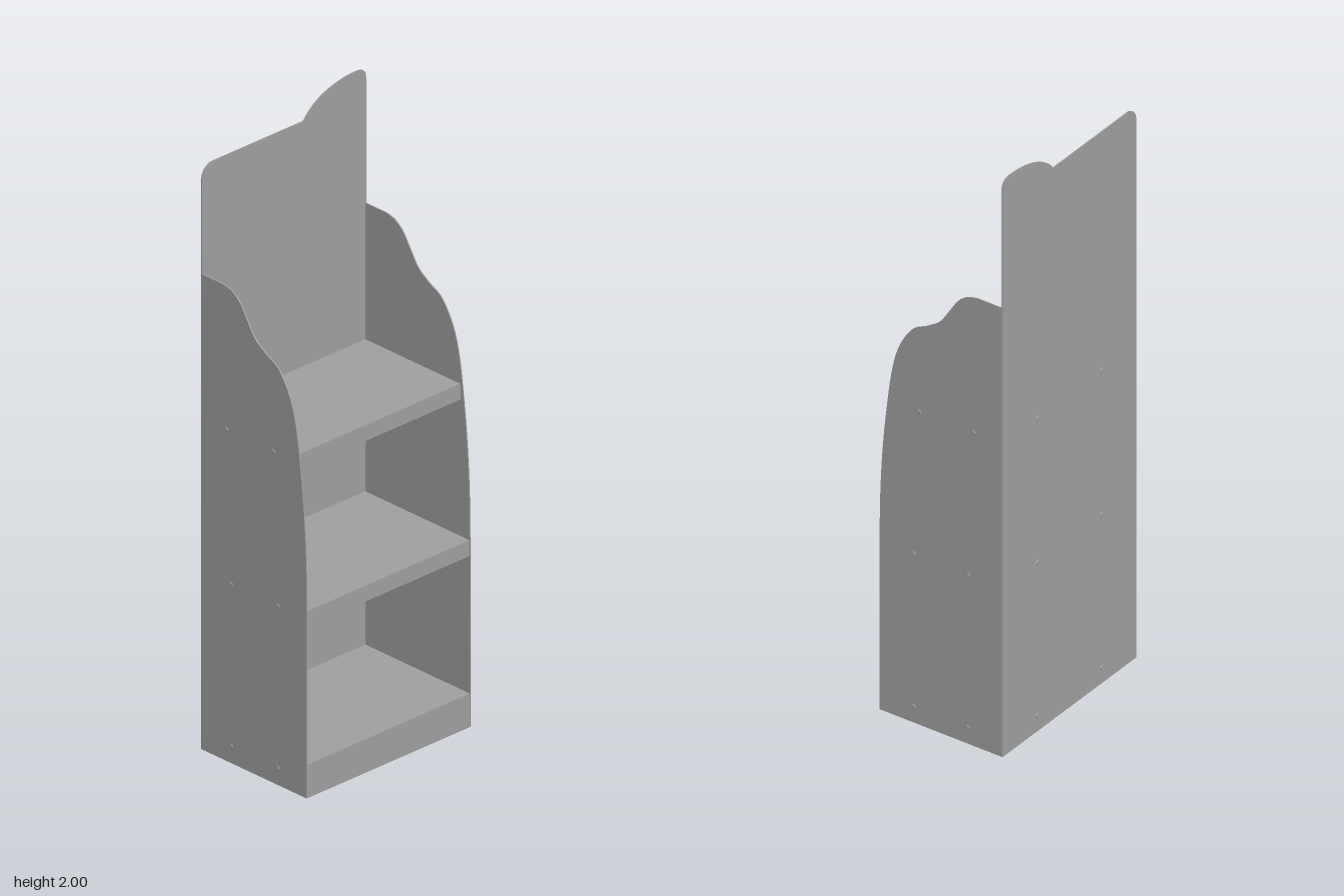
import * as THREE from 'three';
import { toCreasedNormals } from 'three/addons/utils/BufferGeometryUtils.js';

const T = 0.004;          // sheet thickness
const W = 0.333;          // half width
const BACK = -0.222;      // rear face
const FRONT = 0.221;      // front face

export function createModel() {
  const model = new THREE.Group();
  model.name = 'displayStand';
  const grey = new THREE.MeshStandardMaterial({ color: 0xa0a0a0 });
  grey.name = 'grey sheet';

  const add = (parent, name, geometry, x = 0, y = 0, z = 0) => {
    const mesh = new THREE.Mesh(geometry, grey);
    mesh.name = name;
    mesh.position.set(x, y, z);
    parent.add(mesh);
    return mesh;
  };
  const sheet = (shape) => toCreasedNormals(
    new THREE.ExtrudeGeometry(shape, { depth: T, bevelEnabled: false, curveSegments: 10 }), 0.5);

  // Back panel with a raised crest on the left
  const back = new THREE.Shape();
  back.moveTo(-W, 0);
  back.lineTo(W, 0);
  back.lineTo(W, 1.965);
  back.quadraticCurveTo(W, 2, 0.295, 2);
  back.bezierCurveTo(0.2, 2, 0.115, 1.965, 0.08, 1.912);
  back.lineTo(-W + 0.045, 1.912);
  back.absarc(-W + 0.045, 1.867, 0.045, Math.PI / 2, Math.PI, false);
  back.closePath();
  add(model, 'backPanel', sheet(back), 0, 0, BACK);

  // Side panels with a wavy front edge, drawn in z and y
  const side = new THREE.Shape();
  side.moveTo(BACK + T, 0);
  side.lineTo(FRONT, 0);
  side.lineTo(FRONT, 0.6);
  side.bezierCurveTo(0.221, 0.78, 0.213, 0.9, 0.2, 1.02);
  side.splineThru([
    [0.18, 1.175], [0.153, 1.28], [0.105, 1.36], [0.05, 1.393], [0.005, 1.425],
    [-0.03, 1.475], [-0.06, 1.52], [-0.093, 1.546], [-0.13, 1.556],
  ].map(([z, y]) => new THREE.Vector2(z, y)));
  side.lineTo(BACK + T, 1.556);
  side.closePath();
  const sideGeometry = sheet(side).rotateY(-Math.PI / 2);
  add(model, 'leftSide', sideGeometry, W, 0, 0);
  add(model, 'rightSide', sideGeometry, -W + T, 0, 0);

  // Folded shelf trays, open underneath, with their fixing screws
  const screw = new THREE.CylinderGeometry(0.006, 0.009, 0.002, 12);
  const sideScrew = screw.clone().rotateZ(-Math.PI / 2);
  const backScrew = screw.clone().rotateX(-Math.PI / 2);
  const inner = W - T;
  const rear = BACK + T;
  const shelves = [
    { name: 'bottomShelf', top: 0.11, lip: 0.11, front: FRONT, screwY: 0.055 },
    { name: 'middleShelf', top: 0.612, lip: 0.052, front: FRONT - 0.001, screwY: 0.585 },
    { name: 'topShelf', top: 1.11, lip: 0.052, front: 0.181, screwY: 1.085 },
  ];
  for (const s of shelves) {
    const shelf = new THREE.Group();
    shelf.name = s.name;
    model.add(shelf);
    const depth = s.front - rear;
    const mid = (s.front + rear) / 2;
    const flange = s.lip - T;
    const y = s.top - T - flange / 2;
    add(shelf, 'shelfTop', new THREE.BoxGeometry(inner * 2, T, depth), 0, s.top - T / 2, mid);
    const lip = new THREE.BoxGeometry(inner * 2, flange, T);
    add(shelf, 'frontLip', lip, 0, y, s.front - T / 2);
    add(shelf, 'rearFlange', lip, 0, y, rear + T / 2);
    const end = new THREE.BoxGeometry(T, flange, depth - 2 * T);
    for (const k of [-1, 1]) {
      add(shelf, 'sideFlange', end, k * (inner - T / 2), y, mid);
      add(shelf, 'backScrew', backScrew, k * 0.16, s.screwY, BACK - 0.001);
      for (const j of [-1, 1]) {
        const head = add(shelf, 'sideScrew', sideScrew, k * (W + 0.001), s.screwY, mid + j * 0.098);
        if (k < 0) head.rotation.y = Math.PI;
      }
    }
  }
  return model;
}
